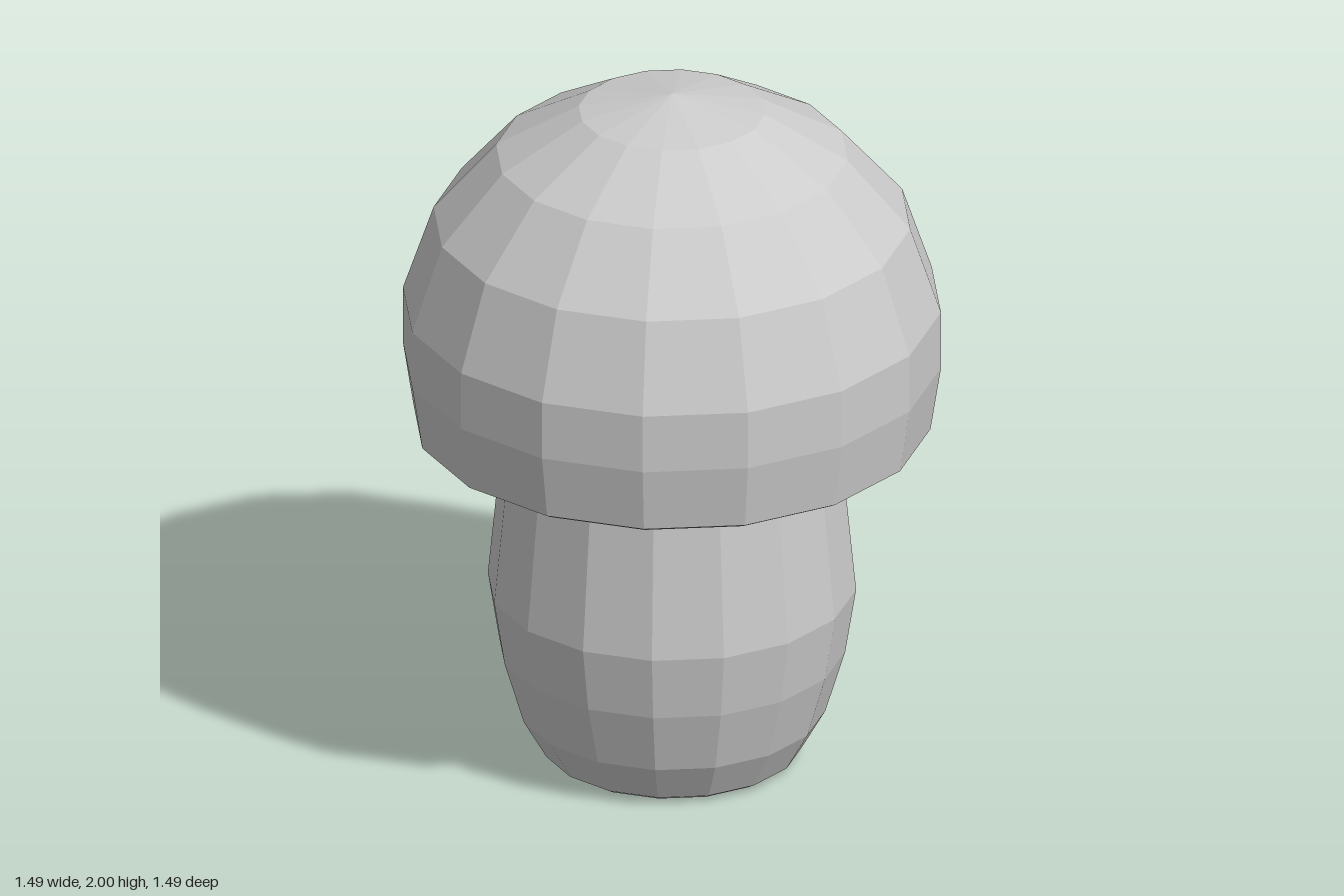
import * as THREE from 'three';

const SIDES = 16;

// Faceted solid of revolution; profile runs from bottom axis to top axis as [radius, y]
function turned(name, profile) {
  const points = profile.map(([r, y]) => new THREE.Vector2(r, y));
  const geometry = new THREE.LatheGeometry(points, SIDES).toNonIndexed();
  geometry.computeVertexNormals();
  const material = new THREE.MeshStandardMaterial({ color: 0xcccccc, flatShading: true });
  const mesh = new THREE.Mesh(geometry, material);
  mesh.name = name;
  return mesh;
}

export function createModel() {
  const group = new THREE.Group();
  group.name = 'mushroom';

  // Barrel-shaped stem with a small bevel at the foot, reaching up into the cap
  group.add(turned('stem', [
    [0, 0], [0.335, 0.005], [0.36, 0.02], [0.425, 0.135], [0.48, 0.32],
    [0.51, 0.51], [0.472, 0.9], [0.43, 1.08], [0, 1.1],
  ]));

  // Domed cap with a shallow hollow underside and a bevelled rim
  group.add(turned('cap', [
    [0, 1.09], [0.43, 1.07], [0.67, 1.015], [0.695, 1], [0.716, 1.012],
    [0.745, 1.2], [0.745, 1.37], [0.66, 1.62], [0.487, 1.82], [0.258, 1.95], [0, 2],
  ]));

  return group;
}
